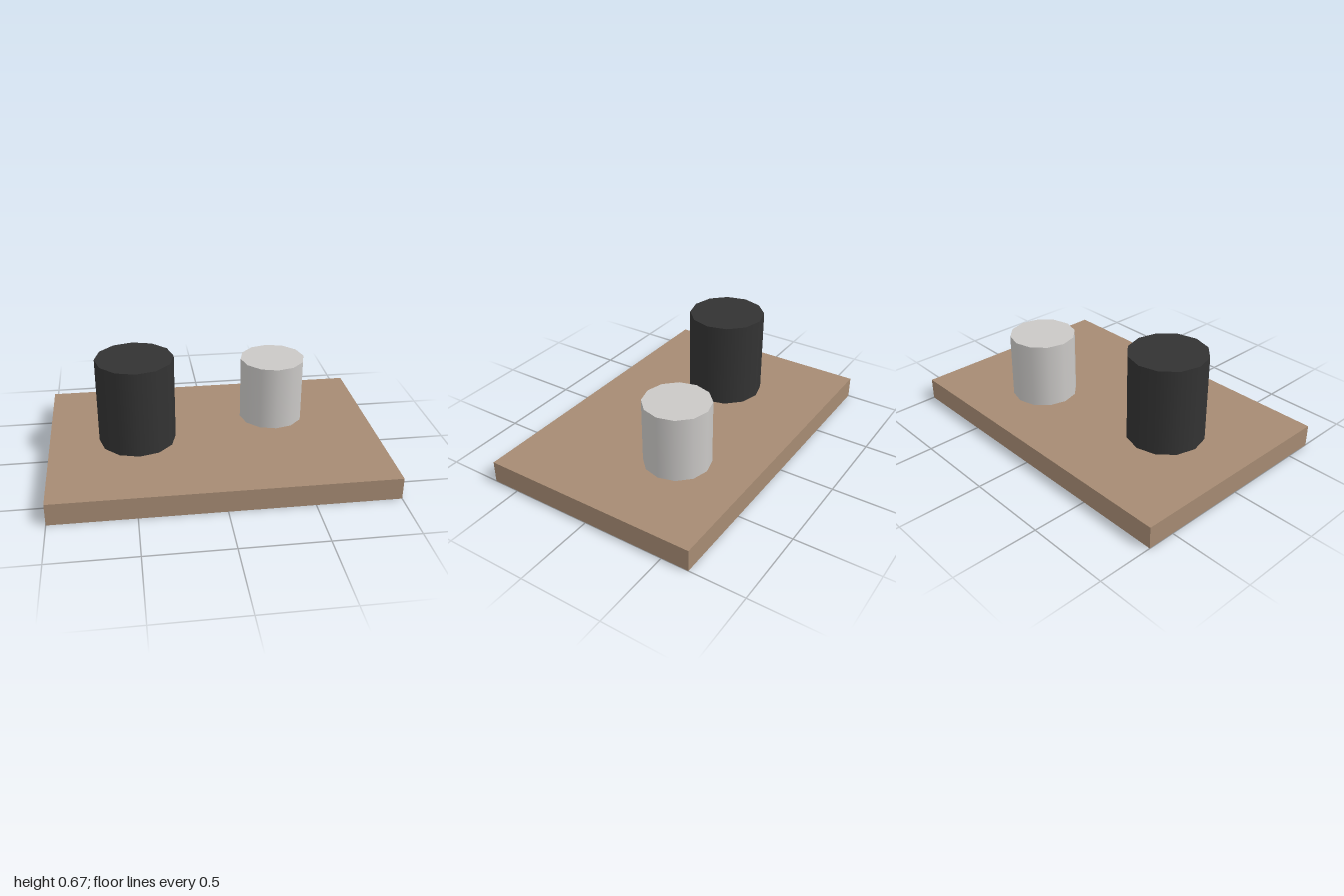
import * as THREE from 'three';

export function createModel() {
  const model = new THREE.Group();
  const wood = new THREE.MeshStandardMaterial({ name: 'wood', color: 0xa68b73 });
  const charcoal = new THREE.MeshStandardMaterial({ name: 'charcoal', color: 0x333333 });
  const paleGrey = new THREE.MeshStandardMaterial({ name: 'paleGrey', color: 0xcac8c6 });

  const boardHeight = 0.1333;

  // Flat rectangular base
  const board = new THREE.Mesh(new THREE.BoxGeometry(2, boardHeight, 1.3333), wood);
  board.name = 'board';
  board.position.y = boardHeight / 2;
  model.add(board);

  // Twelve-sided, smooth-shaded cylinders standing on the board
  function addCylinder(name, radius, height, x, z, material) {
    const mesh = new THREE.Mesh(new THREE.CylinderGeometry(radius, radius, height, 12), material);
    mesh.name = name;
    mesh.position.set(x, boardHeight + height / 2, z);
    model.add(mesh);
  }
  addCylinder('tallCylinder', 0.2333, 0.5333, -0.4667, 0, charcoal);
  addCylinder('shortCylinder', 0.2, 0.4, 0.4, -0.2, paleGrey);

  return model;
}
